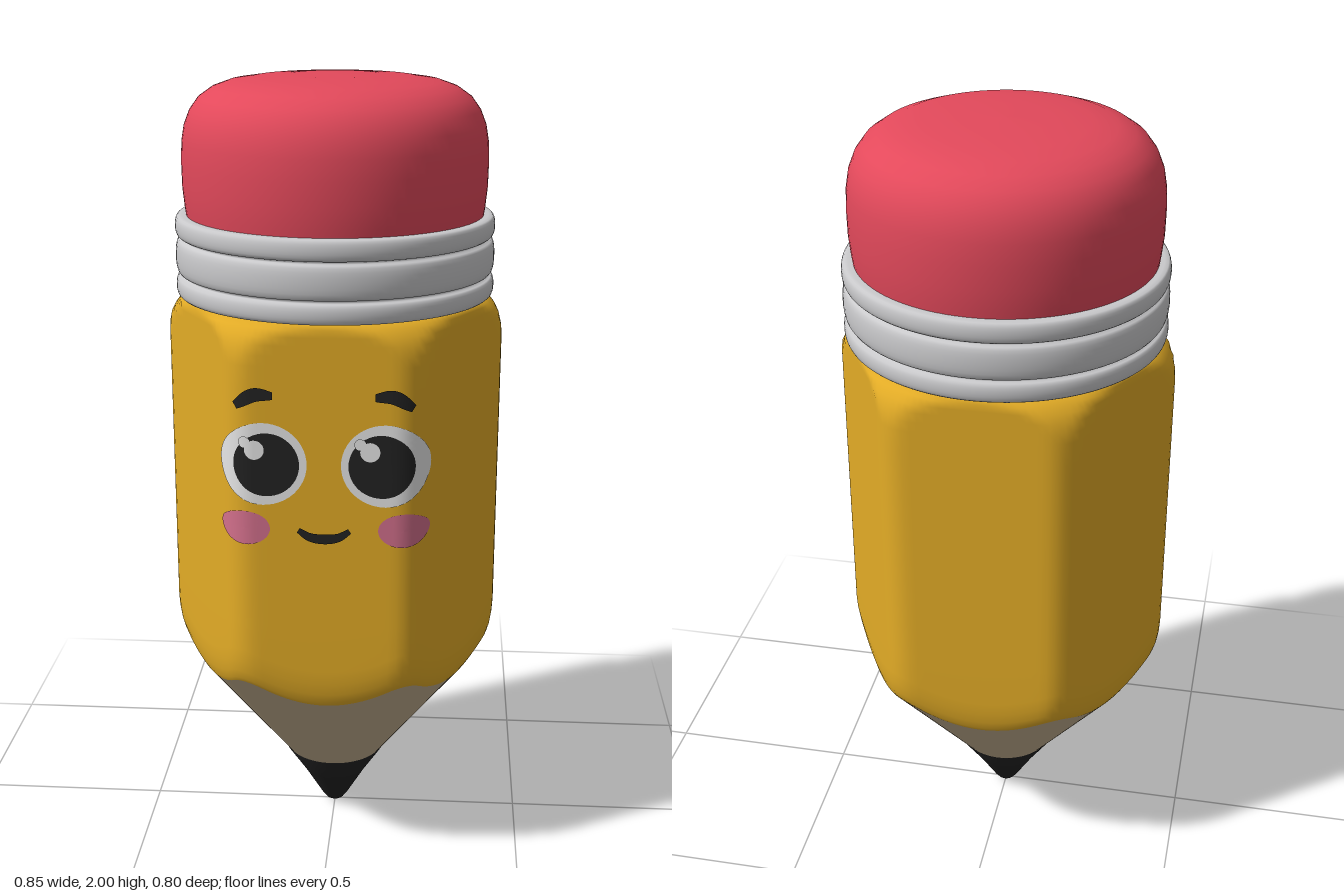
import * as THREE from 'three';
import { mergeVertices } from 'three/addons/utils/BufferGeometryUtils.js';

// Rounded hexagon: apothem, corner rounding, distance to rounding centre
const A = 0.38, RHO = 0.089, D = A / Math.cos(Math.PI / 6) - RHO / Math.cos(Math.PI / 6);

function hexRadius(theta) {
  const step = Math.PI / 3;
  const phi = Math.abs(theta - Math.round(theta / step) * step);
  if (Math.tan(phi) < D * 0.5 / A) return A / Math.cos(phi);
  const d = Math.PI / 6 - phi;
  return D * Math.cos(d) + Math.sqrt(RHO * RHO - (D * Math.sin(d)) ** 2);
}

// Depth of the body's front surface at a given x
function frontZ(x) {
  const ax = Math.abs(x), cx = D * 0.5, cz = D * Math.cos(Math.PI / 6);
  if (ax < cx) return A;
  if (ax < cx + RHO * Math.sin(Math.PI / 3)) return cz + Math.sqrt(RHO * RHO - (ax - cx) ** 2);
  return (A - 0.866 * ax) / 0.5;
}

// Scalloped line where the painted body meets the sharpened cone
const rimRadius = (t) => hexRadius(t) * 0.95;
const rimY = (t) => 0.18 + (rimRadius(t) - 0.13) / 0.79;

// Closed surface around y; each row is a function theta -> [radius, y]
function loft(rows, segments = 144) {
  const g = new THREE.LatheGeometry(rows.map((_, i) => new THREE.Vector2(1, i)), segments);
  const p = g.attributes.position;
  for (let i = 0; i <= segments; i++) {
    const t = (i % segments) / segments * Math.PI * 2;
    rows.forEach((row, j) => {
      const [r, y] = row(t);
      p.setXYZ(i * rows.length + j, r * Math.sin(t), y, r * Math.cos(t));
    });
  }
  g.deleteAttribute('uv');
  g.deleteAttribute('normal');
  const merged = mergeVertices(g);
  merged.computeVertexNormals();
  return merged;
}

const lathe = (pts) => new THREE.LatheGeometry(pts.map(([r, y]) => new THREE.Vector2(r, y)), 96);

// Lay a flat shape onto the front of the body
function wrapFront(g, lift) {
  const p = g.attributes.position;
  for (let i = 0; i < p.count; i++) p.setZ(i, frontZ(p.getX(i)) + lift);
  g.computeVertexNormals();
  return g;
}

function disc(x, y, rx, ry, lift) {
  const g = new THREE.RingGeometry(0.0005, 1, 48, 10);
  g.scale(rx, ry, 1).translate(x, y, 0);
  return wrapFront(g, lift);
}

// Tapered brush stroke through a few points, left to right
function stroke(points, width, lift) {
  const curve = new THREE.CatmullRomCurve3(points.map(([x, y]) => new THREE.Vector3(x, y, 0)));
  const g = new THREE.PlaneGeometry(1, 1, 24, 2), p = g.attributes.position;
  for (let i = 0; i < p.count; i++) {
    const u = p.getX(i) + 0.5, c = curve.getPointAt(u), t = curve.getTangentAt(u);
    const w = p.getY(i) * width * (0.55 + 0.45 * Math.sin(Math.PI * u));
    p.setXY(i, c.x - t.y * w, c.y + t.x * w);
  }
  return wrapFront(g, lift);
}

export function createModel() {
  const group = new THREE.Group();
  const mat = (name, color) => Object.assign(new THREE.MeshStandardMaterial({ color }), { name });
  const yellow = mat('yellow paint', 0xe3ac26);
  const red = mat('red rubber', 0xe3495b);
  const silver = mat('silver metal', 0xcacacc);
  const wood = mat('bare wood', 0xc4b08f);
  const black = mat('black', 0x222222);
  const white = mat('eye white', 0xe8e8e8);
  const pink = mat('blush pink', 0xd3708c);

  const add = (name, geometry, material) => {
    const mesh = new THREE.Mesh(geometry, material);
    mesh.name = name;
    group.add(mesh);
  };

  // Lead tip and sharpened wood
  add('leadTip', lathe([[0, 0], [0.012, 0.002], [0.024, 0.01], [0.036, 0.026], [0.085, 0.108], [0.133, 0.18], [0.12, 0.182]]), black);
  const woodRow = (k) => (t) => [
    THREE.MathUtils.lerp(0.129, rimRadius(t), k),
    THREE.MathUtils.lerp(0.179, rimY(t), k),
  ];
  add('sharpenedWood', loft([0, 0.25, 0.5, 0.75, 1].map(woodRow)), wood);

  // Hexagonal body with a soft lower lip and turned-in top corners
  const lower = [[0.95, 0], [0.968, 0.012], [0.984, 0.035], [0.995, 0.065], [1, 0.1]]
    .map(([s, dy]) => (t) => [hexRadius(t) * s, rimY(t) + dy]);
  const upper = [[0.43, 0.7], [0.43, 1.0], [0.43, 1.3], [0.425, 1.36], [0.422, 1.385], [0.416, 1.41],
    [0.406, 1.43], [0.392, 1.448], [0.374, 1.46], [0.33, 1.465]]
    .map(([limit, y]) => (t) => [Math.min(hexRadius(t), limit), y]);
  add('body', loft([...lower, ...upper]), yellow);

  // Ferrule: three rounded bands separated by grooves
  const ferrule = [[0.33, 1.462]];
  for (const [y0, y1] of [[1.462, 1.512], [1.518, 1.604], [1.61, 1.662]]) {
    for (let i = 0; i <= 10; i++) {
      const a = -Math.PI / 2 + Math.PI * i / 10;
      ferrule.push([0.382 + 0.018 * Math.sqrt(Math.cos(a) + 1e-9), (y0 + y1) / 2 + (y1 - y0) / 2 * Math.sin(a)]);
    }
  }
  ferrule.push([0.35, 1.662]);
  add('ferrule', lathe(ferrule), silver);

  // Eraser
  add('eraser', lathe([[0.368, 1.64], [0.374, 1.68], [0.379, 1.73], [0.38, 1.79], [0.378, 1.84], [0.371, 1.88],
    [0.357, 1.915], [0.335, 1.945], [0.302, 1.968], [0.26, 1.983], [0.2, 1.992], [0.11, 1.998], [0, 2]]), red);

  // Face
  for (const [side, s] of [['right', -1], ['left', 1]]) {
    add(side + 'EyeWhite', disc(s * 0.148, 1.119, 0.107, 0.103, 0.003), white);
    add(side + 'Pupil', disc(s * 0.139, 1.118, 0.08, 0.079, 0.005), black);
    add(side + 'EyeGlint', disc(s * 0.139 - 0.028, 1.155, 0.024, 0.024, 0.007), white);
    add(side + 'EyeSmallGlint', disc(s * 0.139 - 0.052, 1.174, 0.014, 0.014, 0.007), white);
    add(side + 'Cheek', disc(s * 0.193, 0.955, 0.062, 0.043, 0.003), pink);
    const brow = [[0.122, 1.289], [0.168, 1.29], [0.213, 1.262]].map(([x, y]) => [s * x, y]);
    add(side + 'Brow', stroke(s < 0 ? brow.reverse() : brow, 0.034, 0.004), black);
  }
  add('mouth', stroke([[-0.062, 0.953], [-0.035, 0.936], [0, 0.931], [0.035, 0.936], [0.062, 0.953]], 0.025, 0.004), black);

  return group;
}
